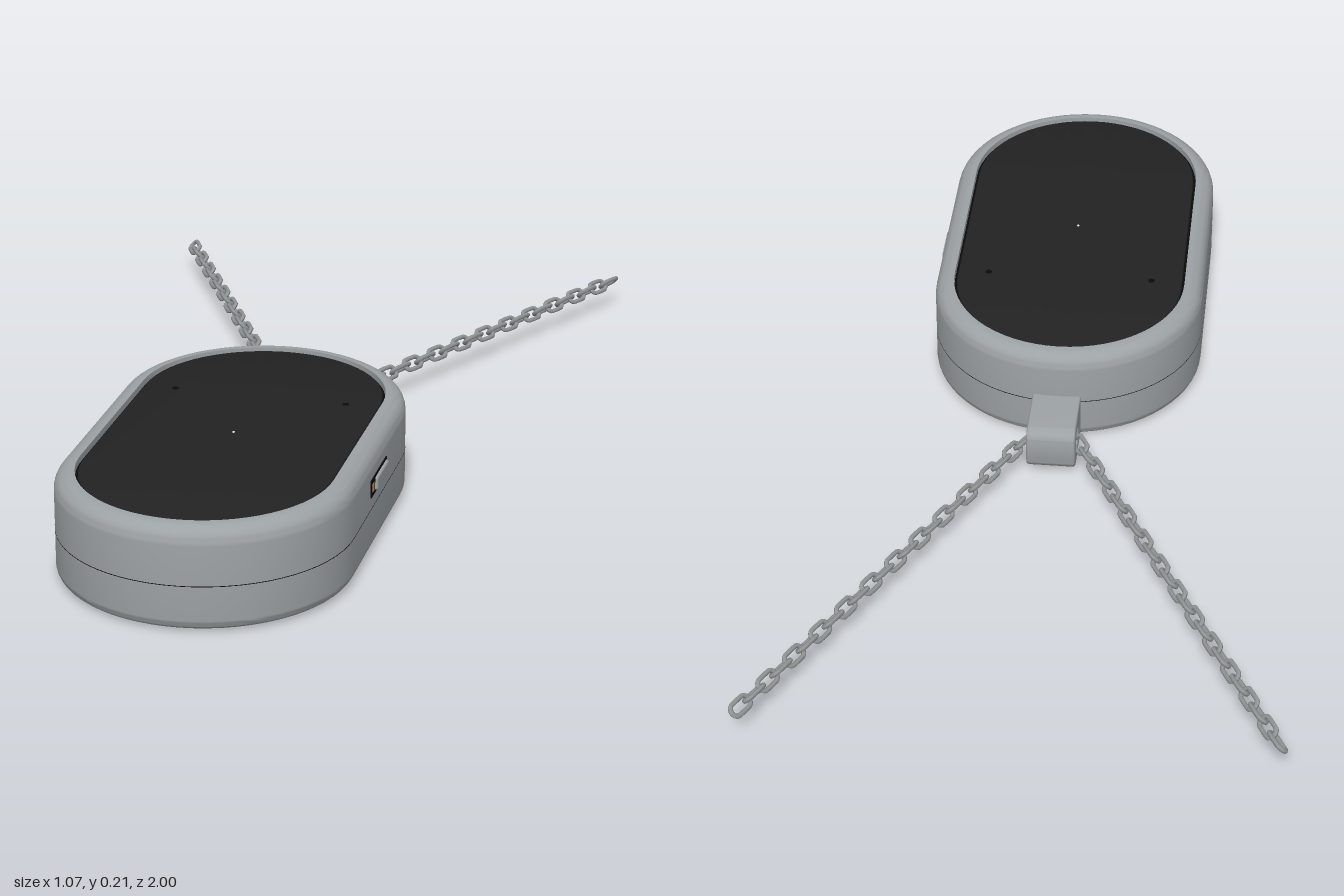
import * as THREE from 'three';
import { toCreasedNormals } from 'three/addons/utils/BufferGeometryUtils.js';
import { RoundedBoxGeometry } from 'three/addons/geometries/RoundedBoxGeometry.js';

const material = (name, color, side = THREE.FrontSide) => {
  const m = new THREE.MeshStandardMaterial({ color, side });
  m.name = name;
  return m;
};

// Sweeps a profile of [radius, y] points round a pill outline running along z
const CENTRE = 0.5, HALF = 0.206;
function pillGeometry(profile, steps = 32) {
  const pos = [], index = [], n = 2 * (steps + 1);
  for (const [r, y] of profile) {
    for (let j = 0; j < n; j++) {
      const end = j <= steps ? 1 : -1;
      const a = Math.PI * (j <= steps ? j / steps : 1 + (j - steps - 1) / steps);
      pos.push(r * Math.cos(a), y, CENTRE + end * HALF + r * Math.sin(a));
    }
  }
  for (let i = 0; i < profile.length - 1; i++) {
    for (let j = 0; j < n; j++) {
      const k = (j + 1) % n, a = i * n + j, b = a + n, c = i * n + k, d = c + n;
      index.push(a, b, d, a, d, c);
    }
  }
  const g = new THREE.BufferGeometry();
  g.setAttribute('position', new THREE.Float32BufferAttribute(pos, 3));
  g.setIndex(index);
  return toCreasedNormals(g, 0.6);
}

// Quarter-round profile points
function arc(cx, cy, r, from, to, steps = 8) {
  return Array.from({ length: steps + 1 }, (_, i) => {
    const a = from + (to - from) * i / steps;
    return [cx + r * Math.cos(a), cy + r * Math.sin(a)];
  });
}

export function createModel() {
  const root = new THREE.Group();
  root.name = 'pendant';
  const casing = material('casing grey', 0x9da2a5);
  const steel = material('chain steel', 0x8f9394);
  const panelBlack = material('panel black', 0x222222);
  const black = material('gap black', 0x0a0a0a, THREE.DoubleSide);
  const gold = material('contact gold', 0xc9a24a);
  const white = material('indicator white', 0xe8e8e8);

  const add = (name, geometry, mat, x = 0, y = 0, z = 0, parent = root) => {
    const mesh = new THREE.Mesh(geometry, mat);
    mesh.name = name;
    mesh.position.set(x, y, z);
    parent.add(mesh);
    return mesh;
  };

  // Casing with rounded lower and upper edges and a recessed top
  const R = 0.294, TOP = 0.212;
  add('casing', pillGeometry([
    [0, 0.002],
    ...arc(R - 0.022, 0.024, 0.022, -Math.PI / 2, 0),
    ...arc(R - 0.036, TOP - 0.036, 0.036, 0, Math.PI / 2),
    [0.253, TOP], [0.253, 0.197], [0, 0.197],
  ]), casing);
  add('seam', pillGeometry([[R + 0.0004, 0.0945], [R + 0.0004, 0.096]]), black);

  // Top panel, the gap round it, sensor holes and indicator
  add('panelGap', pillGeometry([[0.2525, 0.199], [0, 0.199]]), black);
  add('topPanel', pillGeometry([
    [0.247, 0.198], ...arc(0.244, 0.204, 0.003, 0, Math.PI / 2, 3), [0, 0.207],
  ]), panelBlack);
  for (const side of [-1, 1]) {
    add('sensorHole', new THREE.CylinderGeometry(0.007, 0.007, 0.002, 16), black, side * 0.18, 0.207, 0.31);
  }
  add('indicator', new THREE.CylinderGeometry(0.003, 0.003, 0.002, 12), white, 0, 0.207, 0.51);

  // Slide switch on the left side
  add('switchSlot', new THREE.BoxGeometry(0.005, 0.036, 0.132), black, R, 0.14, 0.505);
  add('switchKnob', new RoundedBoxGeometry(0.016, 0.028, 0.098, 3, 0.005), casing, R, 0.14, 0.492);
  add('switchLight', new THREE.BoxGeometry(0.006, 0.018, 0.014), gold, R, 0.14, 0.556);

  // Charging contacts and reset hole underneath
  add('contactPlate', new THREE.BoxGeometry(0.21, 0.004, 0.07), black, 0, 0.002, 0.9);
  for (const x of [-0.066, 0, 0.066]) {
    add('contactRim', new THREE.BoxGeometry(0.05, 0.003, 0.05), gold, x, 0.001, 0.9);
    add('contactRecess', new THREE.BoxGeometry(0.036, 0.003, 0.036), panelBlack, x, 0.0006, 0.9);
    add('contactPin', new THREE.CylinderGeometry(0.011, 0.011, 0.003, 16), gold, x, 0.0002, 0.9);
  }
  add('resetHole', new THREE.CylinderGeometry(0.012, 0.012, 0.003, 20), black, 0, 0.002, 0.04);

  // Bail: rounded tab with a hole through it, drawn in (-z, y)
  const tab = new THREE.Shape();
  const [back, low, high, c] = [0.128, 0.017, 0.105, 0.022];
  tab.moveTo(-0.04, low);
  tab.lineTo(back - c, low);
  tab.absarc(back - c, low + c, c, -Math.PI / 2, 0);
  tab.absarc(back - c, high - c, c, 0, Math.PI / 2);
  tab.lineTo(-0.04, high);
  const hole = new THREE.Path();
  hole.absarc(0.075, 0.06, 0.027, 0, Math.PI * 2, true);
  tab.holes.push(hole);
  const bailGeometry = new THREE.ExtrudeGeometry(tab, {
    depth: 0.092, bevelThickness: 0.006, bevelSize: 0.005, bevelSegments: 3, curveSegments: 12,
  });
  bailGeometry.translate(0, 0, -0.046).rotateY(Math.PI / 2);
  add('bail', toCreasedNormals(bailGeometry, 0.6), casing);

  // Oval chain link: a torus pulled apart along x
  const link = new THREE.TorusGeometry(0.013, 0.005, 8, 24);
  const p = link.attributes.position;
  for (let i = 0; i < p.count; i++) {
    const x = p.getX(i);
    if (Math.abs(x) > 1e-6) p.setX(i, x + Math.sign(x) * 0.013);
  }
  link.computeVertexNormals();

  // Two chains spreading backwards, links turned alternately
  const LINKS = 24, PITCH = 0.0427;
  for (const side of [-1, 1]) {
    const chain = new THREE.Group();
    chain.name = side > 0 ? 'leftChain' : 'rightChain';
    chain.position.set(side * 0.046, 0.06, -0.072);
    chain.rotation.y = Math.atan2(0.928, side * 0.484);
    for (let i = 0; i < LINKS; i++) {
      const mesh = add('chainLink', link, steel, 0.031 + i * PITCH, 0, 0, chain);
      mesh.rotation.x = (i % 2 ? 1 : -1) * Math.PI / 4;
    }
    root.add(chain);
  }
  return root;
}
